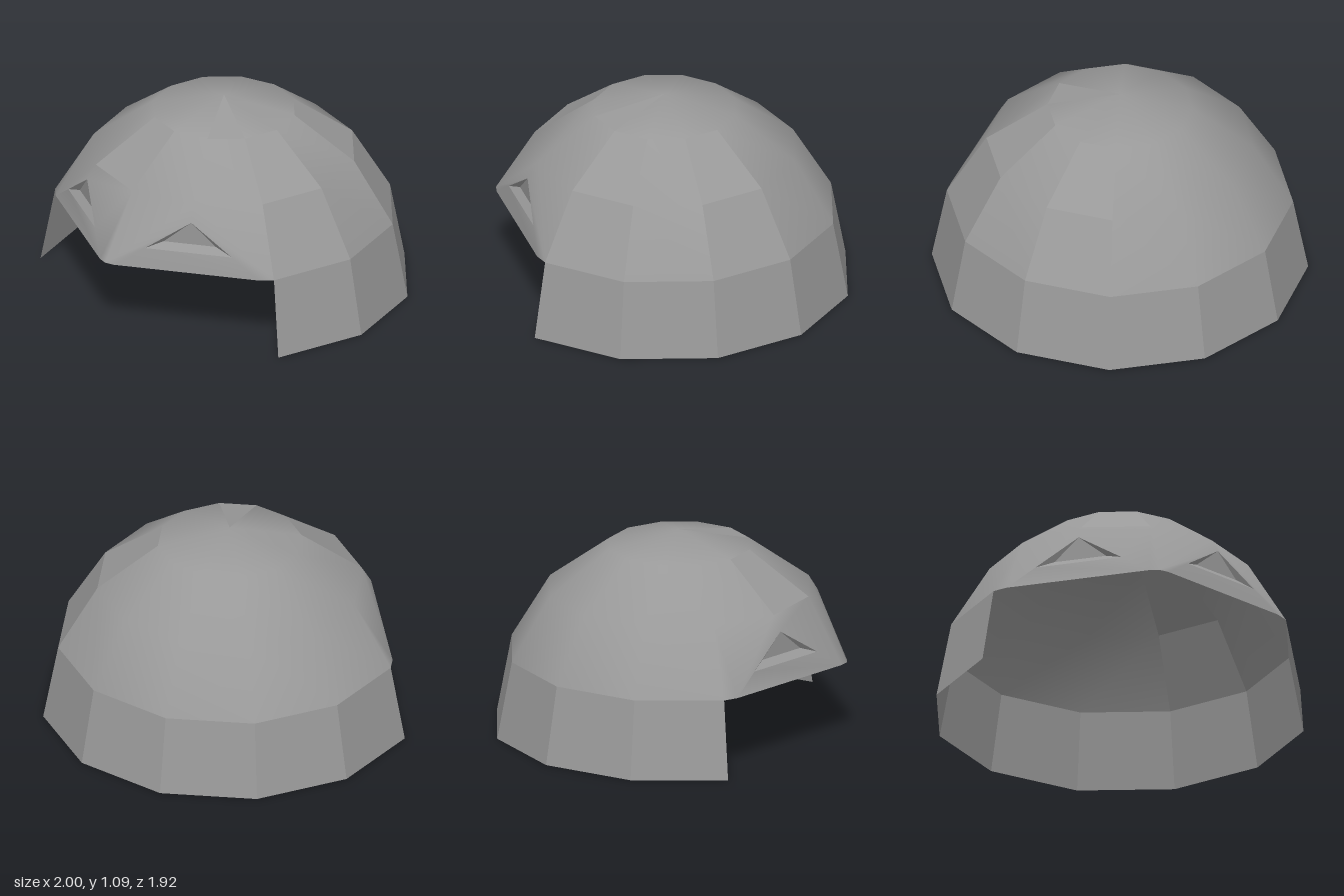
import * as THREE from 'three';
import { mergeVertices } from 'three/addons/utils/BufferGeometryUtils.js';

// Dome profile: [radius, height] of each twelve-sided ring
const RINGS = [[1, 0], [0.92, 0.42], [0.71, 0.77], [0.385, 1.005]];
const CENTRE_Z = 0.04;
const POLE = new THREE.Vector3(0, 1.085, CENTRE_Z);

// Dome panels that are faceted rather than smooth: 'ring,step'
const FACETS = new Set(['1,0', '2,0', '2,3', '1,-2', '2,-2', '3,1']);

// Point on a ring; step 0 is the left side, 3 the front, -3 the back
function ringPoint(ring, step) {
  const [r, y] = RINGS[ring];
  const a = step * Math.PI / 6;
  return new THREE.Vector3(r * Math.cos(a), y, CENTRE_Z + r * Math.sin(a));
}

// Panel from one ring up to the next, or to the pole
function panel(ring, step) {
  const upper = ring === 3 ? [POLE] : [ringPoint(ring + 1, step), ringPoint(ring + 1, step + 1)];
  return [ringPoint(ring, step), ...upper, ringPoint(ring, step + 1)];
}

const between = (a, b, t) => a.clone().lerp(b, t);

// Adds the right-hand copy of left-hand polygons
function mirrored(polygons) {
  const flip = (v) => new THREE.Vector3(-v.x, v.y, v.z);
  return [...polygons, ...polygons.map((p) => p.map(flip).reverse())];
}

// Convex polygons as one mesh
function shell(name, polygons, smooth) {
  const points = [];
  for (const p of polygons) {
    for (let i = 1; i < p.length - 1; i++) points.push(p[0], p[i], p[i + 1]);
  }
  let geometry = new THREE.BufferGeometry().setFromPoints(points);
  if (smooth) geometry = mergeVertices(geometry, 1e-4);
  geometry.computeVertexNormals();
  const material = new THREE.MeshStandardMaterial({
    color: 0x999999, side: THREE.DoubleSide, flatShading: !smooth,
  });
  const mesh = new THREE.Mesh(geometry, material);
  mesh.name = name;
  return mesh;
}

export function createModel() {
  const group = new THREE.Group();
  group.name = 'helmet';

  const dome = [];
  const facets = [];
  const skirt = [];
  for (let step = -6; step < 6; step++) {
    const isFront = step >= 1 && step <= 4;
    for (let ring = isFront ? 2 : 1; ring <= 3; ring++) {
      (FACETS.has(`${ring},${step}`) ? facets : dome).push(panel(ring, step));
    }
    if (!isFront) skirt.push(panel(0, step));
  }

  // Corners of the flat cut that turns the front rim into a pointed visor
  const corner = ringPoint(1, 2);
  const apex = between(corner, ringPoint(2, 2), 0.77);
  const rimInner = between(ringPoint(1, 3), corner, 0.11);
  const rimOuter = between(ringPoint(1, 1), corner, 0.17);
  const slitInner = between(rimInner, apex, 0.4);
  const slitOuter = between(rimOuter, apex, 0.4);
  const inward = new THREE.Vector3(-0.018, 0.035, -0.03);
  const backInner = between(slitInner, slitOuter, 0.2).add(inward);
  const backOuter = between(slitInner, slitOuter, 0.8).add(inward);

  // Visor panels either side of the cut, and the lip under the slit
  dome.push(...mirrored([
    [ringPoint(1, 1), ringPoint(2, 1), ringPoint(2, 2), apex, slitOuter, rimOuter],
    [ringPoint(1, 3), rimInner, slitInner, apex, ringPoint(2, 2), ringPoint(2, 3)],
    [rimOuter, slitOuter, slitInner, rimInner],
  ]));

  // Recessed triangle and ledge of each eye slit
  const slits = mirrored([
    [slitOuter, apex, backOuter],
    [backOuter, apex, backInner],
    [apex, slitInner, backInner],
    [slitOuter, backOuter, backInner, slitInner],
  ]);

  group.add(
    shell('dome', dome, true),
    shell('domeFacets', facets, false),
    shell('skirt', skirt, false),
    shell('eyeSlits', slits, false),
  );
  return group;
}
